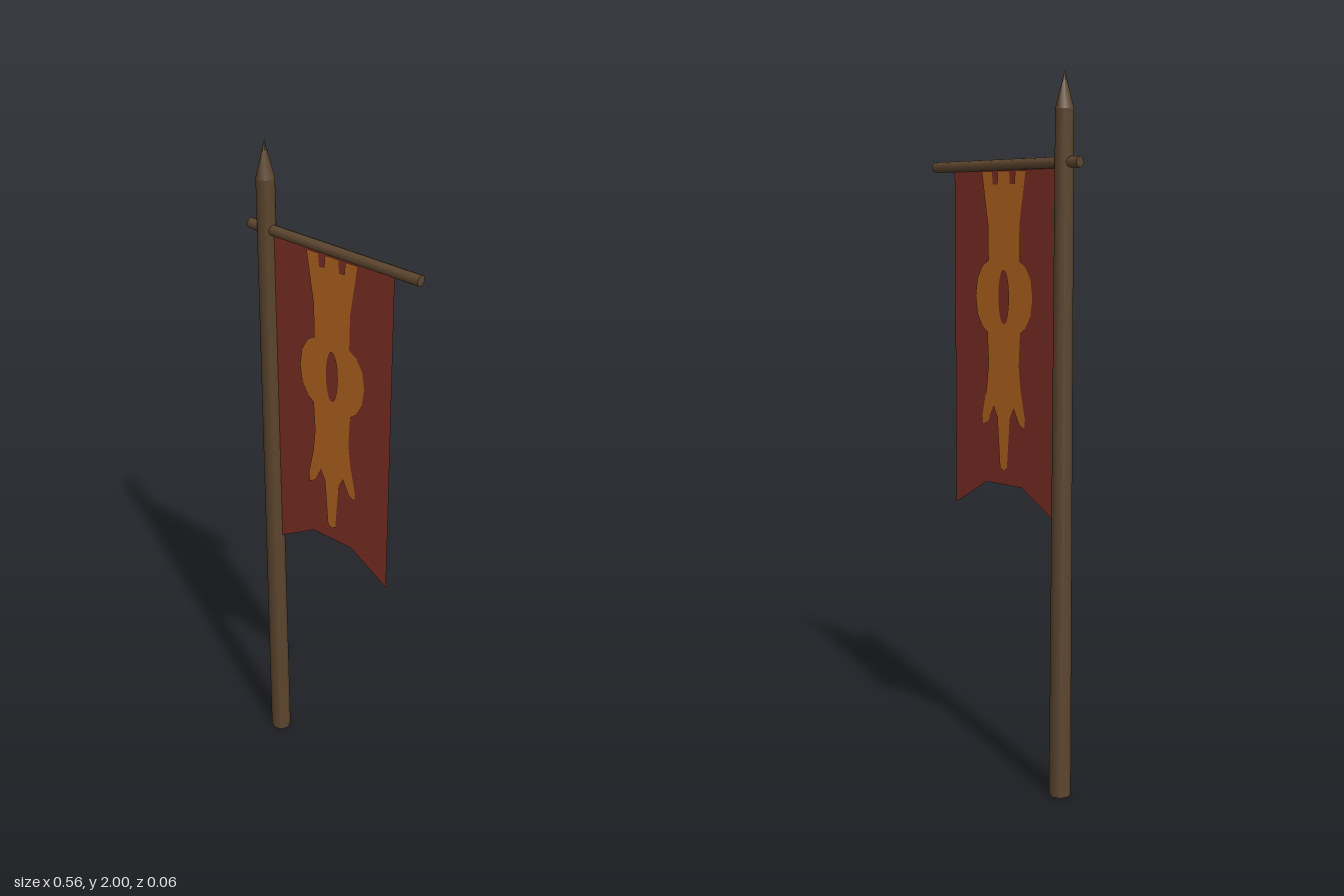
import * as THREE from 'three';

const material = (name, color, side = THREE.FrontSide) => {
  const m = new THREE.MeshStandardMaterial({ color, side });
  m.name = name;
  return m;
};

// Shape symmetric about x = 0, from its right half listed top to bottom
function mirroredShape(half) {
  const points = half.map(([x, y]) => new THREE.Vector2(x, y));
  const left = points.filter(p => p.x > 0).reverse().map(p => new THREE.Vector2(-p.x, p.y));
  return new THREE.Shape([...points, ...left]);
}

export function createModel() {
  const group = new THREE.Group();
  group.name = 'banner';
  const wood = material('dark wood', 0x5c452e);
  const red = material('red cloth', 0x7c2e25, THREE.DoubleSide);
  const gold = material('ochre dye', 0xb4641f);

  const add = (name, geometry, mat, x = 0, y = 0, z = 0) => {
    const mesh = new THREE.Mesh(geometry, mat);
    mesh.name = name;
    mesh.position.set(x, y, z);
    group.add(mesh);
    return mesh;
  };

  // Tapered pole with a pointed tip
  const poleX = -0.224;
  add('pole', new THREE.CylinderGeometry(0.025, 0.031, 1.9, 8), wood, poleX, 0.95);
  add('poleTip', new THREE.ConeGeometry(0.025, 0.1, 8), wood, poleX, 1.95);

  // Crossbar passing through the pole
  add('crossbar', new THREE.CylinderGeometry(0.015, 0.015, 0.56, 8), wood, 0, 1.763)
    .rotation.z = Math.PI / 2;

  // Cloth with a notched lower edge
  const cloth = mirroredShape([[0.2, 1.76], [0.2, 0.787], [0.07, 0.866]]);
  add('cloth', new THREE.ShapeGeometry(cloth), red);

  // Ornament: notched top, ring in the middle, ragged tails and a central spike
  const ornament = mirroredShape([
    [0, 1.745], [0.022, 1.745], [0.025, 1.71], [0.042, 1.71], [0.045, 1.745], [0.085, 1.745],
    [0.075, 1.68], [0.062, 1.6], [0.06, 1.5], [0.085, 1.485], [0.105, 1.45], [0.112, 1.4],
    [0.105, 1.35], [0.085, 1.315], [0.065, 1.3], [0.06, 1.21], [0.068, 1.14], [0.085, 1.06],
    [0.082, 1.035], [0.062, 1.045], [0.04, 1.09], [0.025, 1.06], [0.014, 0.915], [0, 0.905],
  ]);
  ornament.holes.push(new THREE.Path().absellipse(0, 1.4, 0.02, 0.075, 0, Math.PI * 2, true));
  const ornamentGeometry = new THREE.ShapeGeometry(ornament);
  add('frontOrnament', ornamentGeometry, gold, 0, 0, 0.003);
  add('backOrnament', ornamentGeometry, gold, 0, 0, -0.003).rotation.y = Math.PI;

  return group;
}
